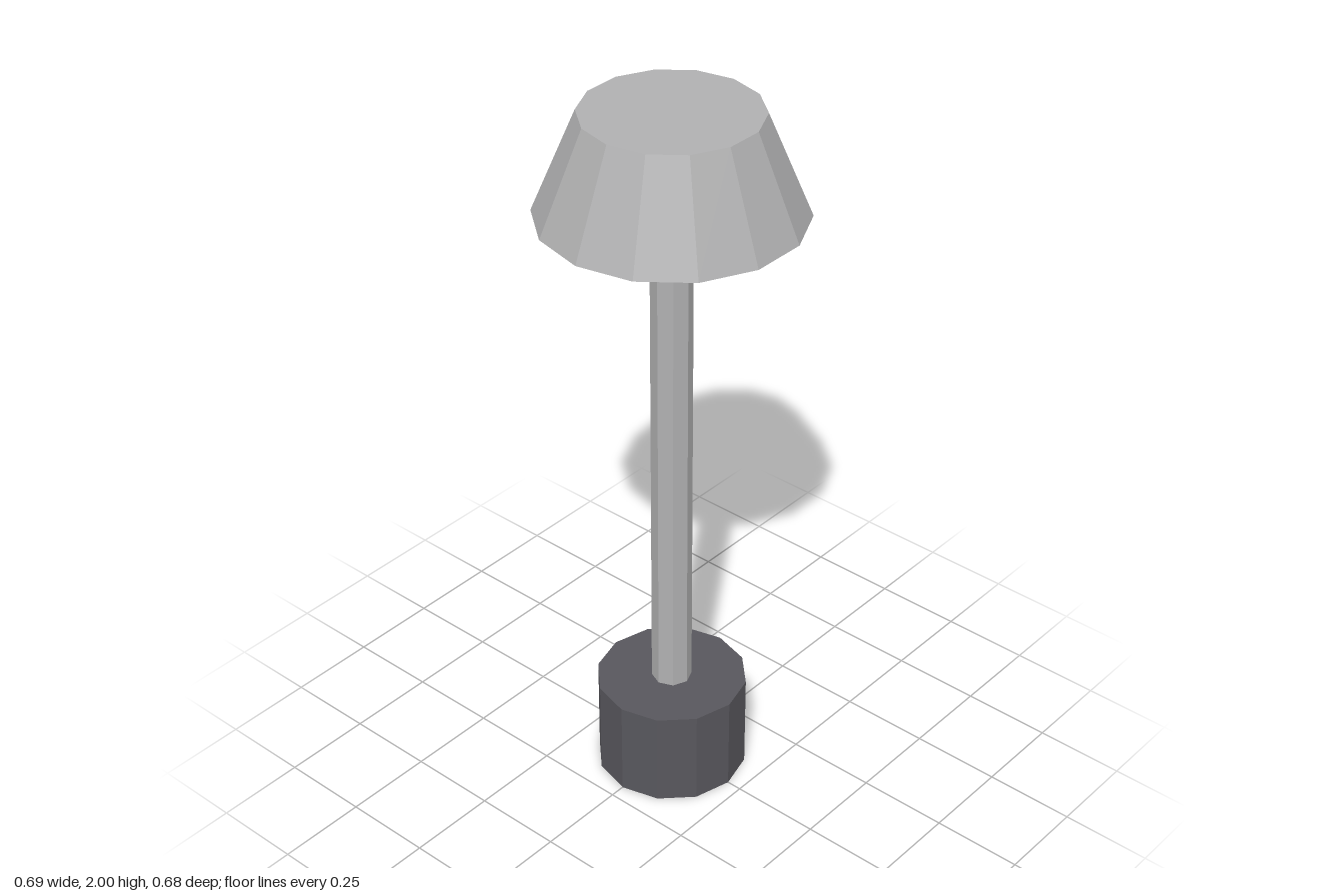
import * as THREE from 'three';

export function createModel() {
  const group = new THREE.Group();
  const lightGrey = new THREE.MeshStandardMaterial({ color: 0xb0b0b1, flatShading: true });
  lightGrey.name = 'light grey metal';
  const darkGrey = new THREE.MeshStandardMaterial({ color: 0x58575d, flatShading: true });
  darkGrey.name = 'dark grey base';

  // Faceted round part spanning y0..y1, with a corner on the x axis
  function addPart(name, topRadius, bottomRadius, y0, y1, sides, material) {
    const geometry = new THREE.CylinderGeometry(topRadius, bottomRadius, y1 - y0, sides);
    geometry.rotateY(Math.PI / 2);
    geometry.translate(0, (y0 + y1) / 2, 0);
    const mesh = new THREE.Mesh(geometry, material);
    mesh.name = name;
    group.add(mesh);
  }

  addPart('base', 0.208, 0.208, 0, 0.28, 12, darkGrey);
  addPart('pole', 0.055, 0.055, 0.28, 1.587, 8, lightGrey);
  addPart('collar', 0.093, 0.093, 1.587, 1.725, 8, lightGrey);
  addPart('shade', 0.232, 0.347, 1.725, 2, 14, lightGrey);

  return group;
}
